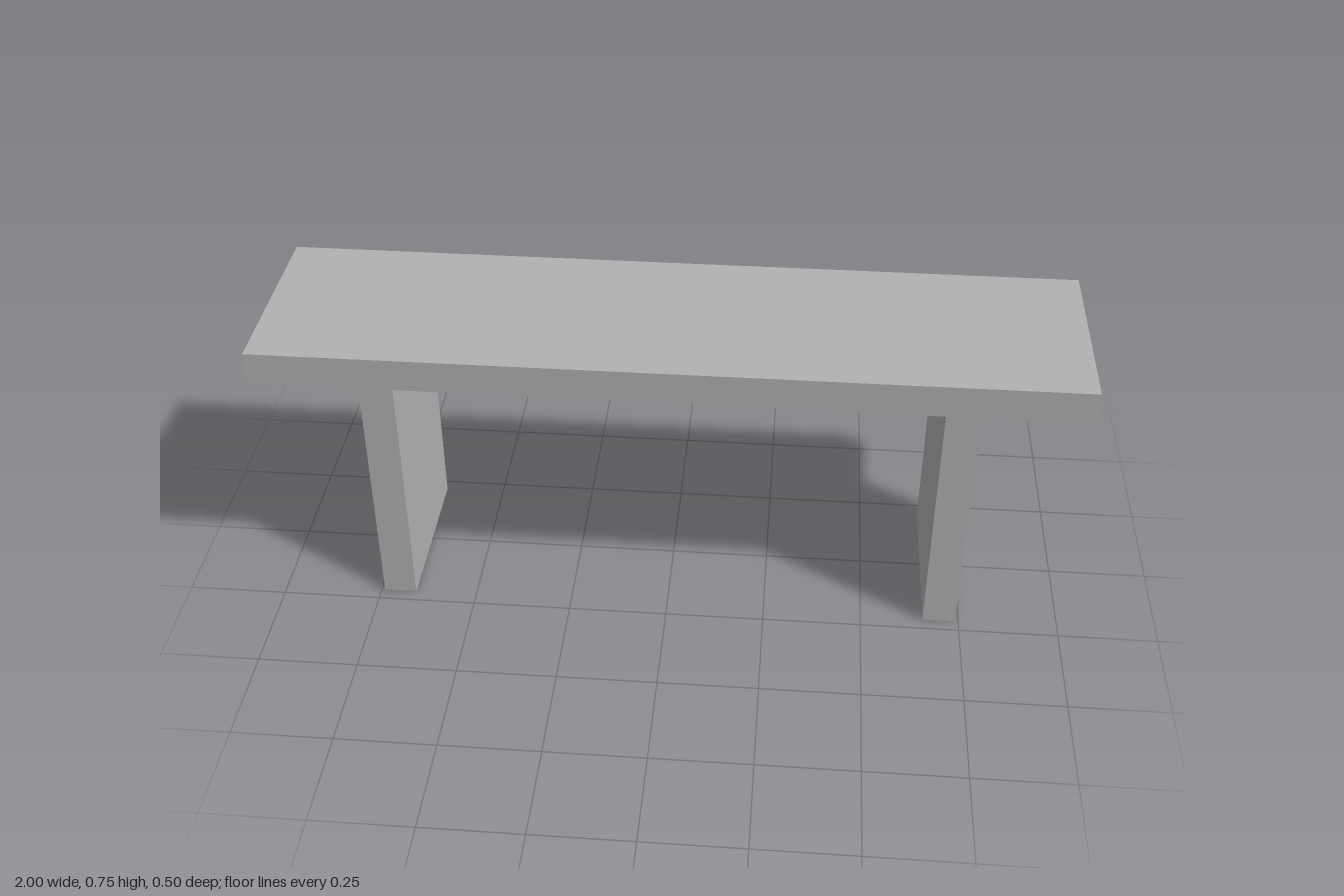
import * as THREE from 'three';

export function createModel() {
  const group = new THREE.Group();
  group.name = 'bench';

  const stone = new THREE.MeshStandardMaterial({ color: 0xb2b2b2 });
  stone.name = 'light grey';

  const topY = 0.75, thick = 0.083, legHeight = topY - thick;

  function addSlab(name, width, height, depth, x, y) {
    const mesh = new THREE.Mesh(new THREE.BoxGeometry(width, height, depth), stone);
    mesh.name = name;
    mesh.position.set(x, y, 0);
    group.add(mesh);
  }

  // Seat slab
  addSlab('seat', 2, thick, 0.5, 0, topY - thick / 2);

  // Upright slab legs, one near each end
  for (const side of [-1, 1]) {
    addSlab(side > 0 ? 'leftLeg' : 'rightLeg', thick, legHeight, 0.433, side * 0.7, legHeight / 2);
  }

  return group;
}
